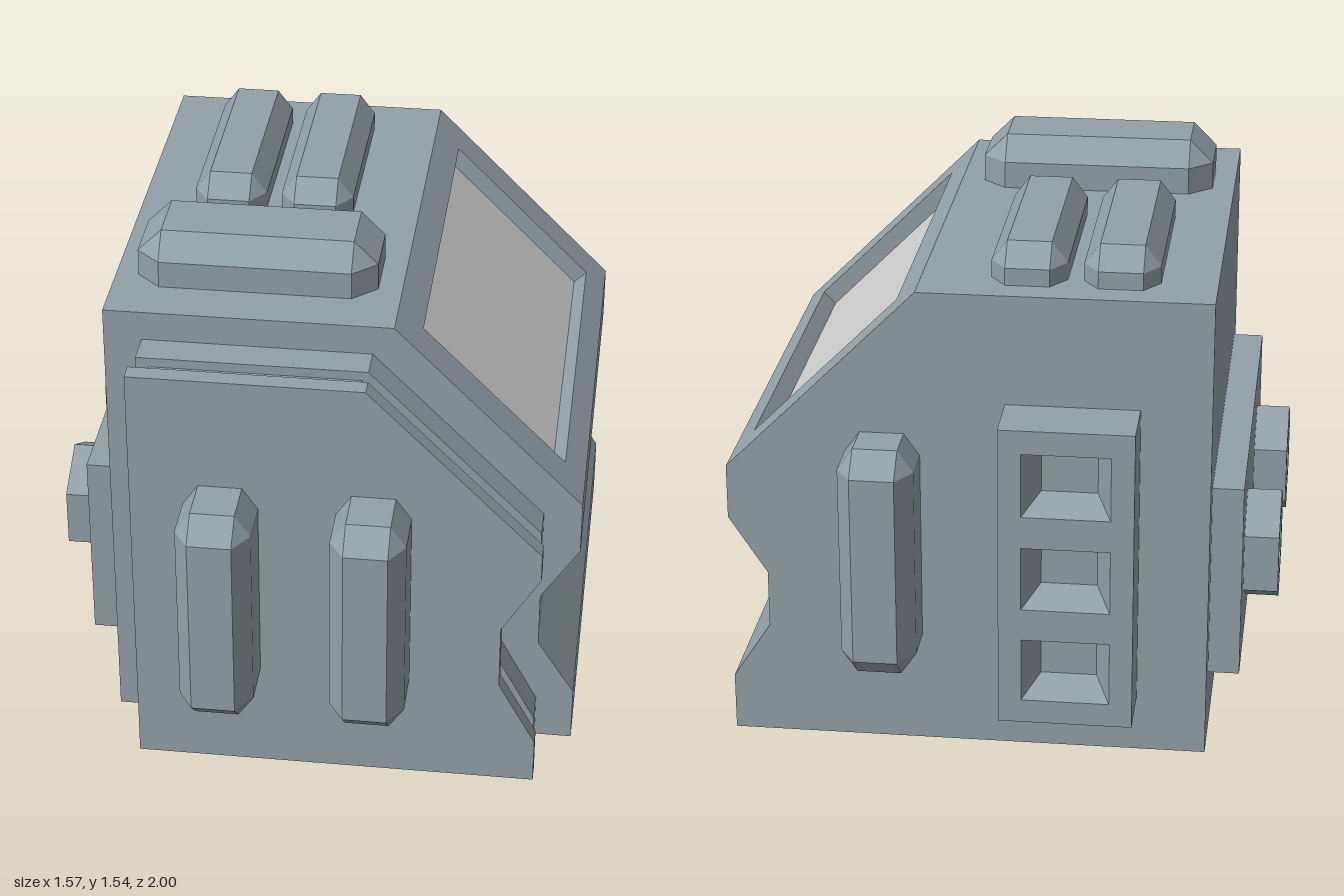
import * as THREE from 'three';
import { ConvexGeometry } from 'three/addons/geometries/ConvexGeometry.js';

const slate = new THREE.MeshStandardMaterial({ color: 0x93a1a9, flatShading: true });
const slateInside = new THREE.MeshStandardMaterial({ color: 0x93a1a9, flatShading: true, side: THREE.DoubleSide });
const grey = new THREE.MeshStandardMaterial({ color: 0xcccccc, flatShading: true });

function add(parent, name, geometry, material = slate) {
  const mesh = new THREE.Mesh(geometry, material);
  mesh.name = name;
  parent.add(mesh);
  return mesh;
}

const toShape = (points) => new THREE.Shape(points.map(([x, y]) => new THREE.Vector2(x, y)));

// Extrudes a shape between two depths
function slab(shape, z0, z1) {
  return new THREE.ExtrudeGeometry(shape, { depth: z1 - z0, bevelEnabled: false }).translate(0, 0, z0);
}

// Housing outline, shrunk by an inset, with its foot at the given height
// and an optional notch cut into the slope
function housingProfile(inset = 0, foot = 0, notch = []) {
  const left = -0.6 + inset, right = 0.78 - inset, waist = 0.67 - inset;
  const top = 1.39 - inset * 0.8, slope = 1.62 - inset * 1.35;
  return toShape([
    [left, foot], [right, foot], [right, 0.17 - inset * 0.3], [waist, 0.34],
    [waist, 0.51 + inset * 0.3], [right, 0.68 + inset * 0.4],
    [right, slope - right], ...notch, [slope - top, top], [left, top],
  ]);
}

// Long lug with chamfered edges, rising along +z from its base
function lugGeometry(width, length, height, chamferX, chamferY, chamferZ) {
  const a = width / 2, b = length / 2, c = a - chamferX, d = b - chamferY;
  const points = [];
  for (const sx of [-1, 1]) for (const sy of [-1, 1]) {
    for (const z of [0, height - chamferZ]) {
      points.push(new THREE.Vector3(sx * a, sy * d, z), new THREE.Vector3(sx * c, sy * b, z));
    }
    points.push(new THREE.Vector3(sx * c, sy * d, height));
  }
  return new ConvexGeometry(points);
}

// Tapered pocket with a floor, its mouth at z = 0 and opening toward +z
function pocketGeometry(sides, mouth, floor, depth, turn = 0) {
  const profile = [[0, -depth], [floor, -depth], [mouth, 0]].map(([x, y]) => new THREE.Vector2(x, y));
  return new THREE.LatheGeometry(profile, sides, turn).rotateX(Math.PI / 2);
}

function polygon(sides, radius) {
  return Array.from({ length: sides }, (_, i) => {
    const a = Math.PI / 2 + (i / sides) * Math.PI * 2;
    return [radius * Math.cos(a), radius * Math.sin(a)];
  });
}

const rectangle = (w, h, y = 0) => [[-w / 2, y - h / 2], [w / 2, y - h / 2], [w / 2, y + h / 2], [-w / 2, y + h / 2]];

// Vent block with three tapered pockets, facing +z
function createVentBlock() {
  const group = new THREE.Group();
  group.name = 'ventBlock';
  const w = 0.25, h = 0.19;
  const shape = toShape(rectangle(0.38, 0.9));
  for (const y of [-0.285, 0, 0.285]) {
    shape.holes.push(toShape(rectangle(w, h, y)));
    const pocket = pocketGeometry(4, Math.SQRT1_2, 0.45, 0.11, Math.PI / 4);
    add(group, 'ventPocket', pocket.scale(w, h, 1).translate(0, y, 0.18), slateInside);
  }
  add(group, 'ventFrame', slab(shape, 0, 0.18));
  return group;
}

// Hexagonal socket with a tapered hollow, facing +z
function createSocket() {
  const group = new THREE.Group();
  group.name = 'hexSocket';
  const shape = toShape(polygon(6, 0.172));
  shape.holes.push(toShape(polygon(6, 0.115)));
  add(group, 'socketRing', slab(shape, 0, 0.1));
  add(group, 'socketHollow', pocketGeometry(6, 0.115, 0.075, 0.085).translate(0, 0, 0.1), slateInside);
  return group;
}

export function createModel() {
  const model = new THREE.Group();
  model.name = 'console';

  // Housing in three slices, the middle one recessed for the screen
  const notch = [[0.72, 0.9], [0.68, 0.86], [0.26, 1.28], [0.3, 1.32]];
  add(model, 'housingBack', slab(housingProfile(), -0.81, -0.685));
  add(model, 'housingMiddle', slab(housingProfile(0, 0, notch), -0.685, 0.44));
  add(model, 'housingFront', slab(housingProfile(), 0.44, 0.57));

  // Screen lying on the floor of the recess
  const screen = add(model, 'screen', new THREE.BoxGeometry(0.592, 0.01, 1.123), grey);
  screen.position.set(0.47, 1.07, -0.1225);
  screen.rotation.z = -Math.PI / 4;

  // Stepped front plates
  add(model, 'frontCollar', slab(housingProfile(0.11, 0.01), 0.57, 0.67));
  add(model, 'frontGroove', slab(housingProfile(0.145, 0.04), 0.67, 0.735));
  add(model, 'frontPlate', slab(housingProfile(0.1, 0), 0.735, 0.79));

  // Upright lugs on the front and back
  const uprightLug = lugGeometry(0.216, 0.695, 0.21, 0.045, 0.065, 0.07);
  for (const x of [-0.238, 0.2]) add(model, 'frontLug', uprightLug).position.set(x, 0.617, 0.79);
  const backLug = add(model, 'backLug', uprightLug);
  backLug.position.set(0.33, 0.617, -0.79);
  backLug.rotation.y = Math.PI;

  // Lugs on the roof
  const crossLug = lugGeometry(0.695, 0.31, 0.15, 0.07, 0.065, 0.07).rotateX(-Math.PI / 2);
  add(model, 'roofCrossLug', crossLug).position.set(-0.187, 1.39, 0.265);
  const roofLug = lugGeometry(0.215, 0.695, 0.11, 0.045, 0.065, 0.06).rotateX(-Math.PI / 2);
  for (const x of [-0.333, -0.073]) add(model, 'roofLug', roofLug).position.set(x, 1.39, -0.378);

  // Vent block on the back
  const vents = createVentBlock();
  vents.position.set(-0.21, 0.617, -0.81);
  vents.rotation.y = Math.PI;
  model.add(vents);

  // Side plate with two sockets
  add(model, 'sidePlate', new THREE.BoxGeometry(0.09, 0.585, 1.195)).position.set(-0.645, 0.507, -0.122);
  for (const z of [-0.442, 0.186]) {
    const socket = createSocket();
    socket.position.set(-0.69, 0.507, z);
    socket.rotation.y = -Math.PI / 2;
    model.add(socket);
  }
  return model;
}
